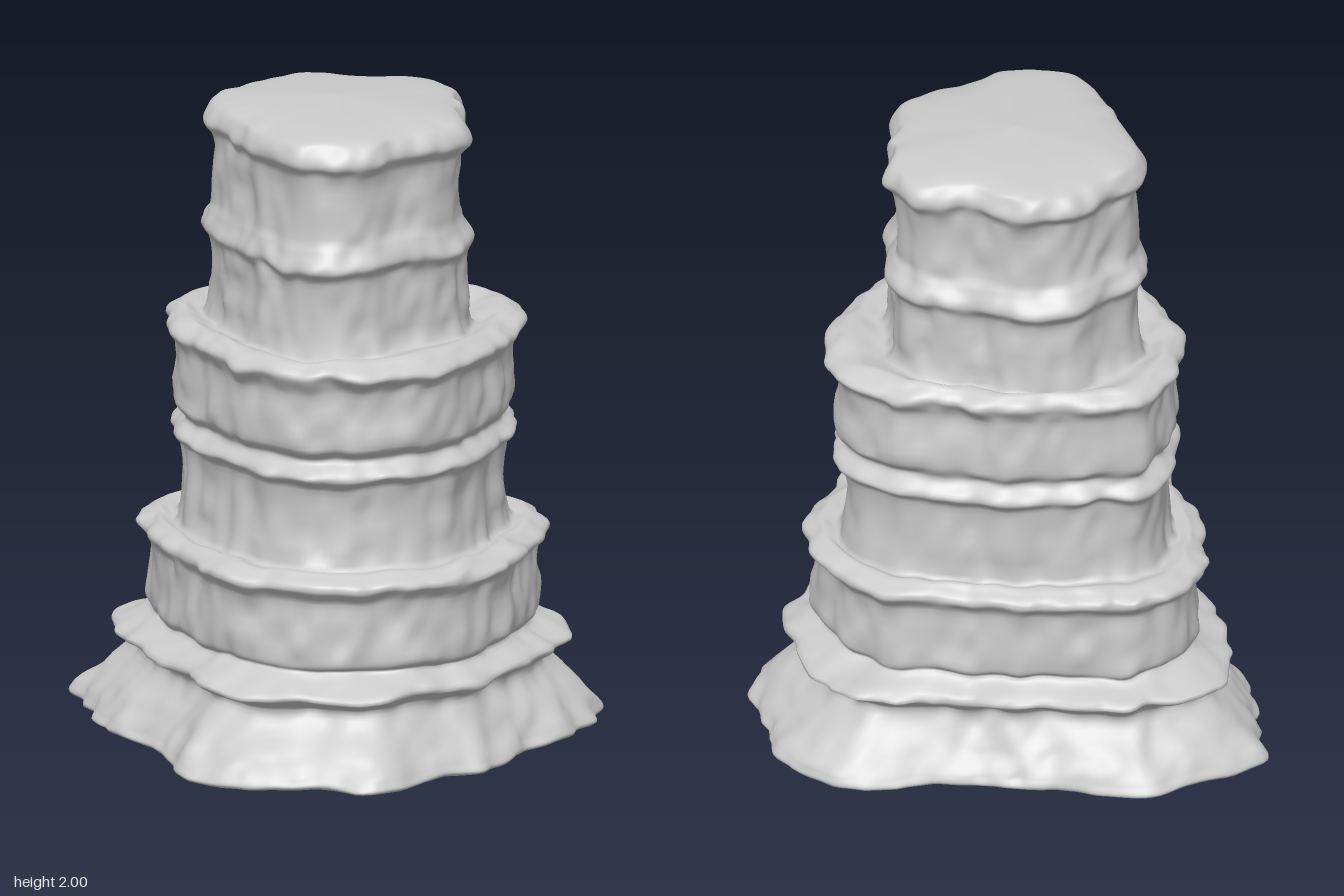
import * as THREE from 'three';

const SEGMENTS = 200;
const CENTRE_Z = 0.06;

// Plan outlines from foot to summit: radii at even angles, starting at +x and turning towards +z.
const FOOT = [0.81, 0.83, 0.78, 0.82, 0.77, 0.72, 0.68, 0.74, 0.74, 0.86, 0.8, 0.85,
  0.8, 0.67, 0.67, 0.72, 0.75, 0.86, 0.8, 0.745, 0.64, 0.6, 0.57, 0.66];
const LOWER = [0.58, 0.62, 0.645, 0.6, 0.62, 0.65, 0.65, 0.63, 0.59, 0.54, 0.55, 0.61, 0.64, 0.54, 0.49, 0.5];
const MIDDLE = [0.53, 0.59, 0.58, 0.54, 0.54, 0.57, 0.585, 0.56, 0.51, 0.475, 0.5, 0.53, 0.56, 0.475, 0.46, 0.46];
const SUMMIT = [0.42, 0.42, 0.38, 0.41, 0.42, 0.4, 0.47, 0.45, 0.38, 0.35, 0.37, 0.41, 0.4, 0.41, 0.4, 0.36];

// Strata profile: height, outline (fractions blend two neighbours), scale.
const PROFILE = [
  [0, 0, 0.001], [0.018, 0, 0.94], [0.035, 0, 1], [0.065, 0, 0.98], [0.13, 0.15, 0.93], [0.24, 0.5, 0.89],
  [0.28, 0.5, 0.98], [0.345, 0.9, 0.91], [0.38, 1, 0.96], [0.56, 1, 0.95], [0.61, 1, 1.01],
  [0.65, 1.2, 0.95], [0.69, 2, 0.91], [0.89, 2, 0.91], [0.935, 2, 0.97], [0.985, 2, 0.9],
  [1.03, 2, 0.95], [1.2, 2, 0.94], [1.26, 2, 1.01], [1.3, 2.1, 0.95], [1.33, 3, 0.98],
  [1.52, 3, 0.97], [1.57, 3, 1.04], [1.62, 3, 0.98], [1.66, 3, 0.94], [1.85, 3, 0.95],
  [1.9, 3, 1.02], [1.945, 3, 0.98], [1.967, 3, 0.89], [2, 3, 0.001],
];

// Smooth closed curve through the radii of an outline.
function outlinePoints(radii) {
  const corners = radii.map((r, i) => {
    const angle = (i / radii.length) * Math.PI * 2;
    return new THREE.Vector3(Math.cos(angle) * r, 0, Math.sin(angle) * r);
  });
  return new THREE.CatmullRomCurve3(corners, true).getPoints(SEGMENTS);
}

// Smooth 3D value noise in the range -1..1.
function hash(x, y, z) {
  const v = Math.sin(x * 127.1 + y * 311.7 + z * 74.7) * 43758.5453;
  return (v - Math.floor(v)) * 2 - 1;
}
function noise(x, y, z) {
  const base = [x, y, z].map(Math.floor);
  const f = [x, y, z].map((v, i) => THREE.MathUtils.smoothstep(v - base[i], 0, 1));
  let sum = 0;
  for (let c = 0; c < 8; c++) {
    const bit = [c & 1, (c >> 1) & 1, (c >> 2) & 1];
    const weight = bit.reduce((w, b, i) => w * (b ? f[i] : 1 - f[i]), 1);
    sum += weight * hash(base[0] + bit[0], base[1] + bit[1], base[2] + bit[2]);
  }
  return sum;
}

function rockGeometry() {
  const outlines = [FOOT, LOWER, MIDDLE, SUMMIT].map(outlinePoints);

  // A spline through the profile rounds the strata edges.
  const profile = new THREE.CatmullRomCurve3(PROFILE.map(p => new THREE.Vector3(...p)));
  const rows = profile.getPoints((PROFILE.length - 1) * 7);

  const positions = [], indices = [];
  rows.forEach(({ x: y, y: blend, z: scale }, row) => {
    const level = THREE.MathUtils.clamp(blend, 0, 3);
    const low = Math.min(2, Math.floor(level));
    for (let s = 0; s < SEGMENTS; s++) {
      const p = outlines[low][s].clone().lerp(outlines[low + 1][s], level - low).multiplyScalar(scale);
      // Weathering: upright flutes, pitted faces and wavy ledges, fading towards the caps' centres.
      const fade = Math.min(1, scale * scale);
      const bump = 0.017 * noise(p.x * 12, y * 3.5, p.z * 12) + 0.011 * noise(p.x * 19, y * 16 + 5, p.z * 19);
      const wave = 0.014 * noise(p.x * 9 + 9, y * 2.5, p.z * 9) * Math.min(1, y * 12, (2 - y) * 8);
      p.setLength(p.length() + bump * fade);
      positions.push(p.x, y + wave * fade, CENTRE_Z + p.z);
      if (row === rows.length - 1) continue;
      const a = row * SEGMENTS + s, b = row * SEGMENTS + ((s + 1) % SEGMENTS);
      indices.push(a, a + SEGMENTS, b, b, a + SEGMENTS, b + SEGMENTS);
    }
  });

  const geometry = new THREE.BufferGeometry();
  geometry.setAttribute('position', new THREE.Float32BufferAttribute(positions, 3));
  geometry.setIndex(indices);
  geometry.computeVertexNormals();
  return geometry;
}

export function createModel() {
  const group = new THREE.Group();
  group.name = 'rockTower';
  const rock = new THREE.Mesh(rockGeometry(), new THREE.MeshStandardMaterial({ color: 0xcccccc }));
  rock.name = 'layeredRock';
  group.add(rock);
  return group;
}
